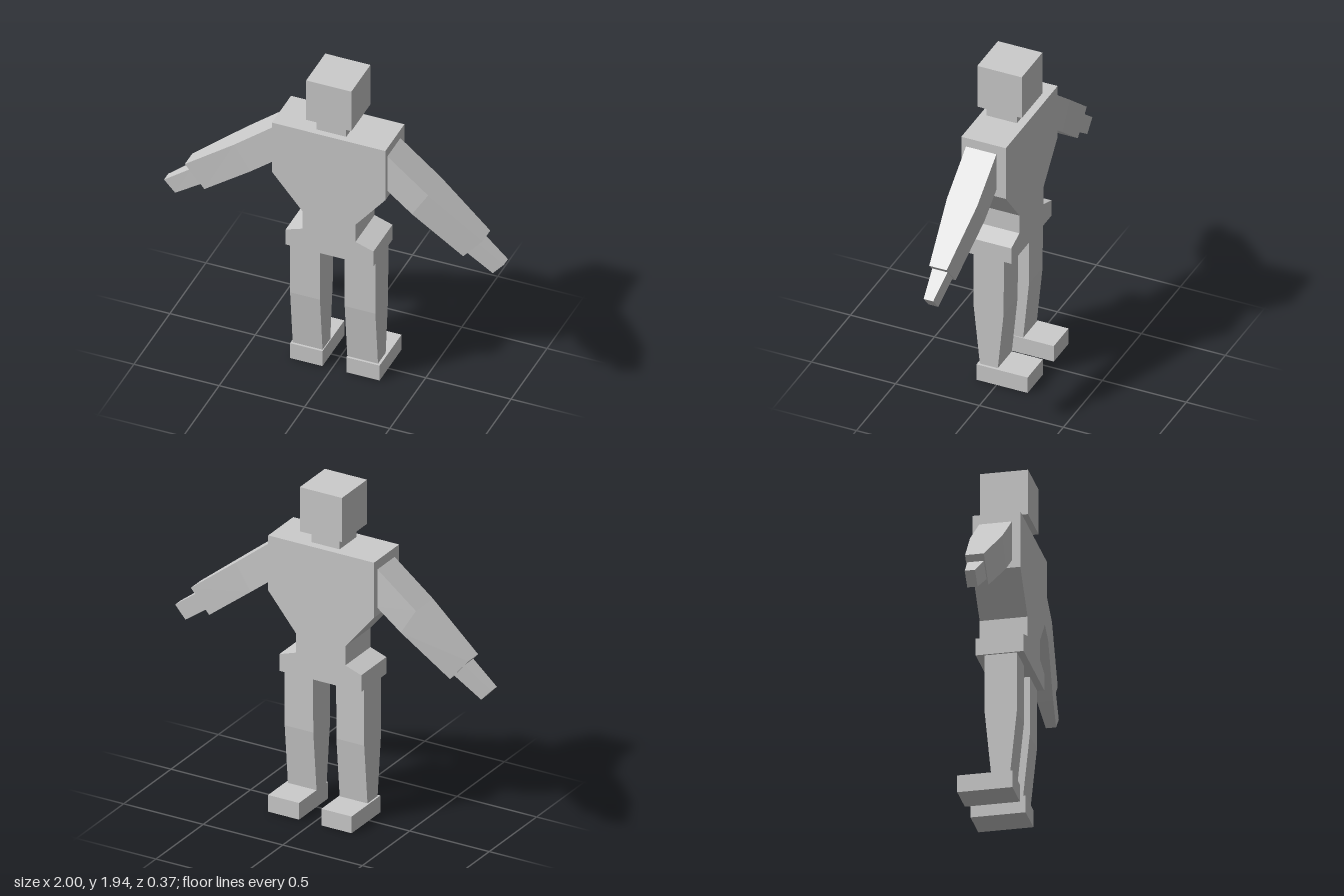
import * as THREE from 'three';

const material = new THREE.MeshStandardMaterial({ color: 0xcccccc, flatShading: true });

function addMesh(parent, name, geometry) {
  const mesh = new THREE.Mesh(geometry, material);
  mesh.name = name;
  parent.add(mesh);
  return mesh;
}

// Box given by its extents on each axis
function addBox(parent, name, [x0, x1], [y0, y1], [z0, z1]) {
  const mesh = addMesh(parent, name, new THREE.BoxGeometry(x1 - x0, y1 - y0, z1 - z0));
  mesh.position.set((x0 + x1) / 2, (y0 + y1) / 2, (z0 + z1) / 2);
}

// Limb through four-sided sections; each section is an edge a-b in the xy plane, widened from z0 to z1
function loftLimb(sections) {
  const rings = sections.map(({ a, b, z: [z0, z1] }) => [
    [...a, z0], [...a, z1], [...b, z1], [...b, z0],
  ]);
  const positions = [];
  const quad = (p, q, r, s) => positions.push(...p, ...q, ...r, ...p, ...r, ...s);
  for (let i = 0; i < rings.length - 1; i++) {
    for (let j = 0; j < 4; j++) {
      const k = (j + 1) % 4;
      quad(rings[i][j], rings[i][k], rings[i + 1][k], rings[i + 1][j]);
    }
  }
  const first = rings[0], last = rings[rings.length - 1];
  quad(first[3], first[2], first[1], first[0]);
  quad(last[0], last[1], last[2], last[3]);

  // Turn the faces outward when the limb runs the other way round
  const [p, q] = rings[0], r = rings[1][0];
  const v = (m) => new THREE.Vector3(...m);
  const normal = v(q).sub(v(p)).cross(v(r).sub(v(p)));
  if (normal.dot(v(p).sub(v(first[2]))) < 0) {
    for (let i = 0; i < positions.length; i += 9) {
      for (let c = 0; c < 3; c++) {
        [positions[i + 3 + c], positions[i + 6 + c]] = [positions[i + 6 + c], positions[i + 3 + c]];
      }
    }
  }
  const geometry = new THREE.BufferGeometry();
  geometry.setAttribute('position', new THREE.Float32BufferAttribute(positions, 3));
  geometry.computeVertexNormals();
  return geometry;
}

export function createModel() {
  const model = new THREE.Group();
  model.name = 'blockFigure';

  // Head and neck
  addBox(model, 'head', [-0.125, 0.14], [1.675, 1.94], [-0.085, 0.18]);
  addBox(model, 'neck', [-0.08, 0.095], [1.6, 1.675], [-0.035, 0.145]);

  // Torso: broad chest, narrow waist and hips in one outline
  const outline = [
    [-0.325, 1.6], [-0.325, 1.27], [-0.145, 1.055], [-0.145, 0.94], [-0.245, 0.905], [-0.245, 0.805],
    [0.27, 0.805], [0.27, 0.905], [0.165, 0.94], [0.165, 1.055], [0.34, 1.27], [0.34, 1.6],
  ];
  const shape = new THREE.Shape(outline.map(([x, y]) => new THREE.Vector2(x, y)));
  const torso = addMesh(model, 'torso', new THREE.ExtrudeGeometry(shape, { depth: 0.265, bevelEnabled: false }));
  torso.position.z = -0.083;

  // Arms and hands: slightly different placement on each side
  const arms = [
    { name: 'left', side: 1, dx: 0, dz: 0, tip: [[1.0, 0.97], [0.935, 0.895]] },
    { name: 'right', side: -1, dx: -0.015, dz: -0.019, tip: [[1.015, 0.955], [0.95, 0.885]] },
  ];
  for (const { name, side, dx, dz, tip } of arms) {
    const section = (a, b, z0, z1) => ({
      a: [side * (a[0] + dx), a[1]],
      b: [side * (b[0] + dx), b[1]],
      z: [z0 + dz, z1 + dz],
    });
    addMesh(model, name + 'Arm', loftLimb([
      section([0.335, 1.549], [0.335, 1.318], -0.027, 0.154),
      section([0.58, 1.353], [0.485, 1.2], -0.024, 0.156),
      section([0.885, 1.11], [0.77, 0.975], 0.016, 0.12),
    ]));
    addMesh(model, name + 'Hand', loftLimb([
      section([0.85, 1.085], [0.785, 1.005], 0.022, 0.115),
      section(tip[0], tip[1], 0.043, 0.1),
    ]));
  }

  // Legs taper below the knee; feet point towards the back
  const legs = [
    { name: 'left', leg: [0.085, 0.265], foot: [0.085, 0.28] },
    { name: 'right', leg: [-0.235, -0.06], foot: [-0.245, -0.055] },
  ];
  for (const { name, leg, foot } of legs) {
    const section = (y, z) => ({ a: [leg[0], y], b: [leg[1], y], z });
    addMesh(model, name + 'Leg', loftLimb([
      section(0.81, [-0.037, 0.143]),
      section(0.46, [-0.035, 0.143]),
      section(0.095, [0.0, 0.106]),
    ]));
    addBox(model, name + 'Foot', foot, [0, 0.1], [-0.185, 0.12]);
  }
  return model;
}
